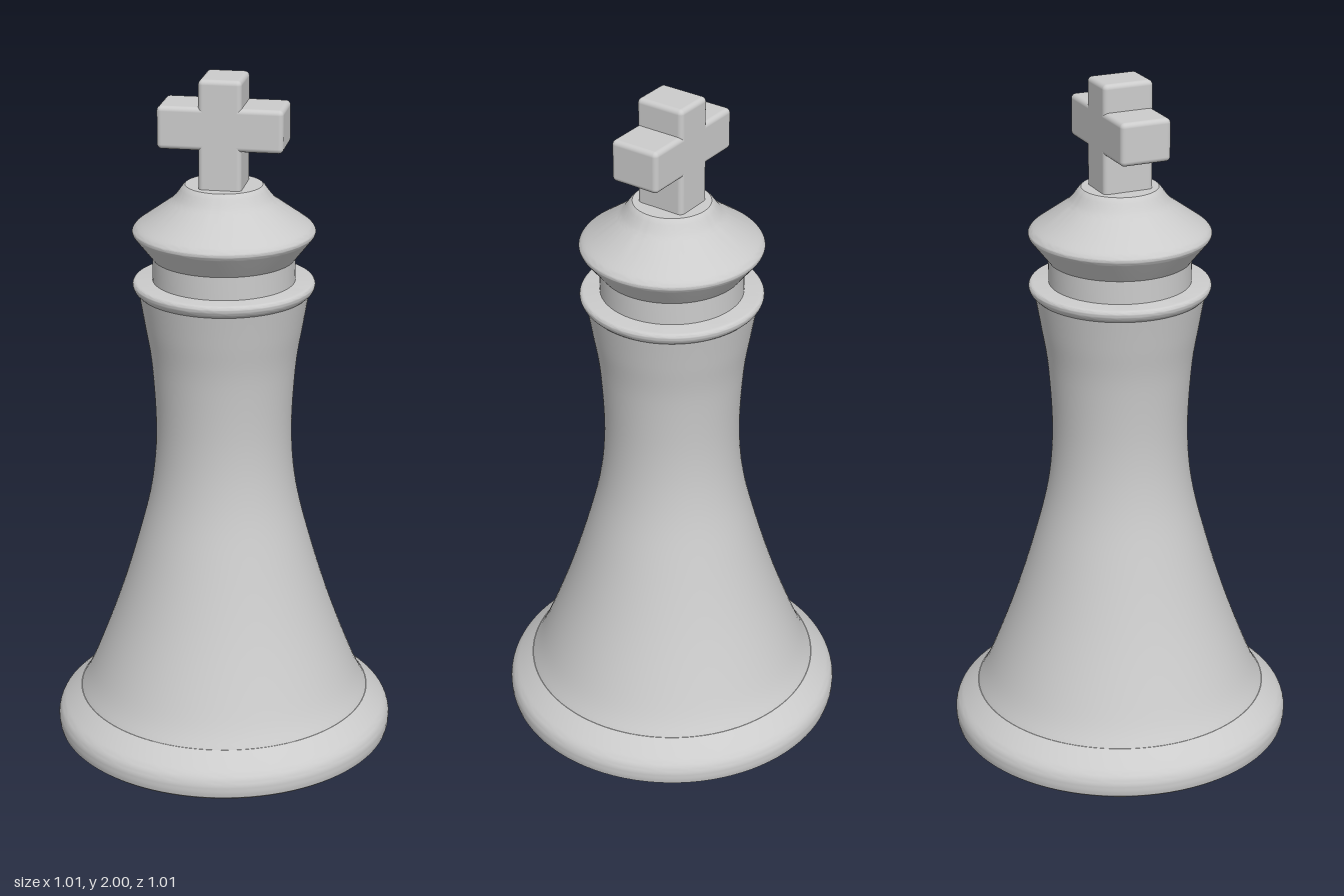
import * as THREE from 'three';
import { RoundedBoxGeometry } from 'three/addons/geometries/RoundedBoxGeometry.js';
import { toCreasedNormals } from 'three/addons/utils/BufferGeometryUtils.js';

const material = new THREE.MeshStandardMaterial({ color: 0xcccccc });

function addPart(group, name, geometry, y = 0) {
  const mesh = new THREE.Mesh(geometry, material);
  mesh.name = name;
  mesh.position.y = y;
  group.add(mesh);
}

// Turned part: profile of [radius, height] pairs from bottom to top
function turned(profile) {
  const points = profile.map(([r, y]) => new THREE.Vector2(r, y));
  return toCreasedNormals(new THREE.LatheGeometry(points, 96), 0.6);
}

// Smooth [radius, height] curve through a few points
function smooth(profile, steps) {
  const curve = new THREE.SplineCurve(profile.map(([r, y]) => new THREE.Vector2(r, y)));
  return curve.getPoints(steps).map((p) => [p.x, p.y]);
}

export function createModel() {
  const group = new THREE.Group();
  group.name = 'chessKing';

  // Wide foot with a rounded rim
  addPart(group, 'base', turned([
    [0, 0], [0.492, 0], [0.5, 0.007],
    ...smooth([[0.503, 0.02], [0.503, 0.045], [0.493, 0.07], [0.468, 0.095], [0.434, 0.125]], 16),
    [0, 0.125],
  ]));

  // Flared, waisted column
  addPart(group, 'body', turned(smooth([
    [0.434, 0.122], [0.395, 0.2], [0.319, 0.4], [0.257, 0.6], [0.213, 0.78],
    [0.198, 0.95], [0.208, 1.15], [0.228, 1.28], [0.246, 1.385],
  ], 48)));

  // Thin collar ring
  addPart(group, 'collar', turned([
    [0, 1.372], [0.243, 1.372],
    ...smooth([[0.245, 1.373], [0.256, 1.384], [0.261, 1.398], [0.257, 1.408], [0.247, 1.411]], 12),
    [0, 1.411],
  ]));

  // Neck and double-cone crown
  addPart(group, 'neck', turned([[0.204, 1.405], [0.204, 1.483]]));
  addPart(group, 'crown', turned([
    [0.204, 1.478],
    ...smooth([[0.253, 1.54], [0.259, 1.549], [0.26, 1.558], [0.252, 1.569], [0.235, 1.582]], 12),
    ...smooth([[0.152, 1.641], [0.138, 1.655], [0.117, 1.684]], 6),
    [0.11, 1.69], [0, 1.69],
  ]));

  // Cross finial
  const cross = new THREE.Group();
  cross.name = 'cross';
  addPart(cross, 'crossUpright', new RoundedBoxGeometry(0.122, 0.34, 0.15, 4, 0.014), 1.83);
  addPart(cross, 'crossArms', new RoundedBoxGeometry(0.356, 0.122, 0.15, 4, 0.014), 1.861);
  group.add(cross);

  return group;
}
